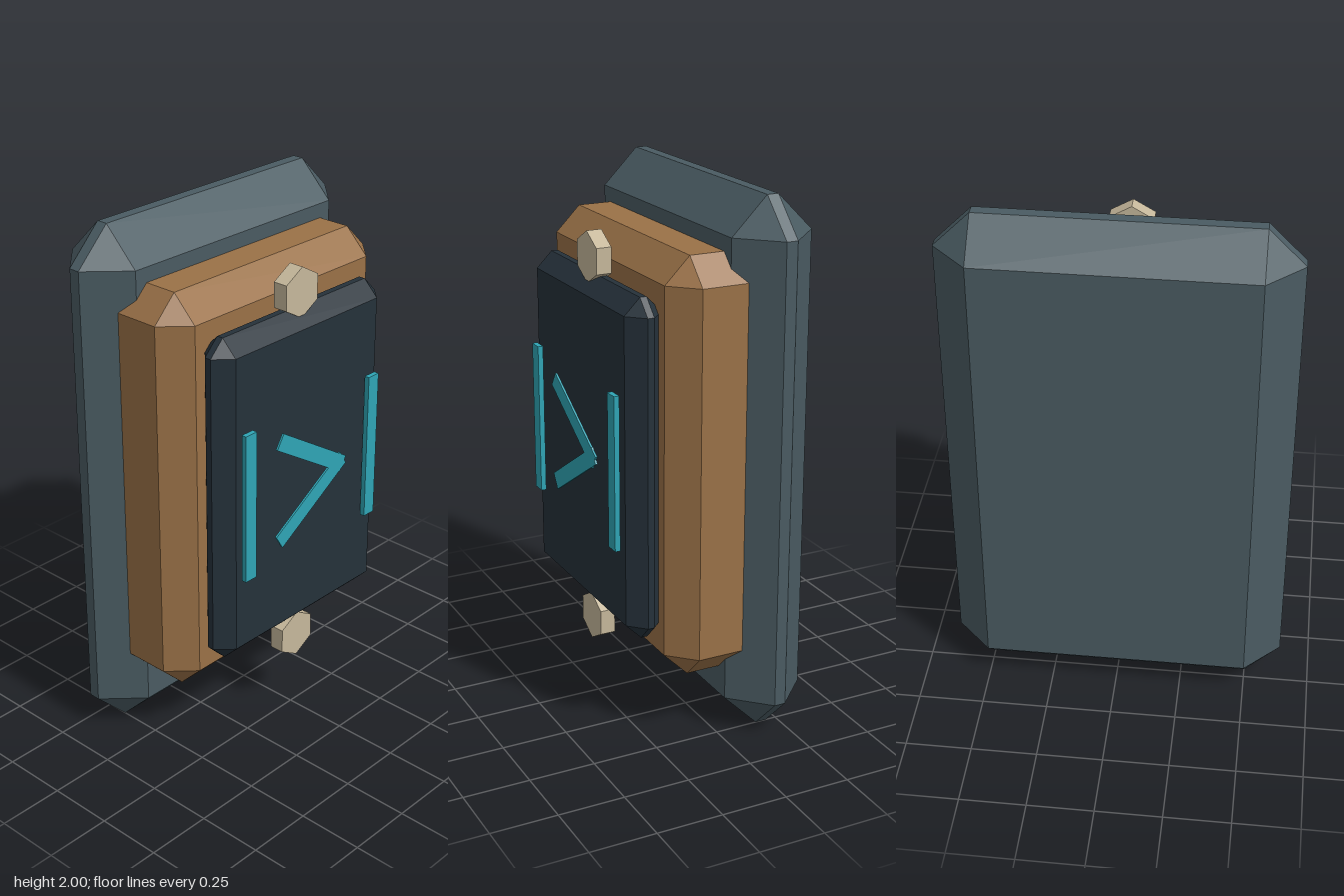
import * as THREE from 'three';
import { ConvexGeometry } from 'three/addons/geometries/ConvexGeometry.js';

const material = (name, color) => {
  const m = new THREE.MeshStandardMaterial({ color });
  m.name = name;
  return m;
};

// Box with every edge cut by the chamfer c, leaving triangular corners
function chamferedBox(width, height, depth, c) {
  const points = [];
  for (const sx of [-1, 1]) for (const sy of [-1, 1]) for (const sz of [-1, 1]) {
    const [x, y, z] = [width / 2, height / 2, depth / 2];
    points.push(
      new THREE.Vector3(sx * x, sy * (y - c), sz * (z - c)),
      new THREE.Vector3(sx * (x - c), sy * y, sz * (z - c)),
      new THREE.Vector3(sx * (x - c), sy * (y - c), sz * z),
    );
  }
  return new ConvexGeometry(points);
}

export function createModel() {
  const group = new THREE.Group();
  group.name = 'wallPanel';

  const slate = material('slate', 0x4a5b62);
  const bronze = material('bronze', 0x9a7147);
  const navy = material('dark navy', 0x25313a);
  const brass = material('pale brass', 0xc6b89b);
  const teal = material('teal', 0x2fa5b5);

  const add = (name, geometry, mat, x, y, z) => {
    const mesh = new THREE.Mesh(geometry, mat);
    mesh.name = name;
    mesh.position.set(x, y, z);
    group.add(mesh);
    return mesh;
  };

  // Three stacked chamfered plates
  const midY = 1.027;
  add('backPlate', chamferedBox(1.27, 2, 0.313, 0.135), slate, 0, 1, -0.1875);
  add('frame', chamferedBox(1.09, 1.565, 0.39, 0.095), bronze, 0, midY, 0);
  add('screen', chamferedBox(0.87, 1.275, 0.145, 0.06), navy, 0, midY, 0.2375);

  // Hexagonal bolts, corner up
  const hex = new THREE.CylinderGeometry(0.095, 0.095, 0.058, 6).toNonIndexed();
  hex.rotateX(Math.PI / 2);
  hex.computeVertexNormals();
  add('topBolt', hex, brass, 0, 1.725, 0.246);
  add('bottomBolt', hex, brass, 0, 0.325, 0.246);

  // Floating side bars and the two arms of the arrow
  const bar = new THREE.BoxGeometry(0.055, 0.58, 0.02);
  const arm = new THREE.BoxGeometry(0.41, 0.064, 0.008);
  for (const s of [-1, 1]) {
    add(s > 0 ? 'leftBar' : 'rightBar', bar, teal, s * 0.332, midY + 0.003, 0.333);
    const mesh = add(s > 0 ? 'upperArrowArm' : 'lowerArrowArm', arm, teal, -0.001, midY + s * 0.095, 0.334);
    mesh.rotation.z = -s * 0.557;
  }
  return group;
}
